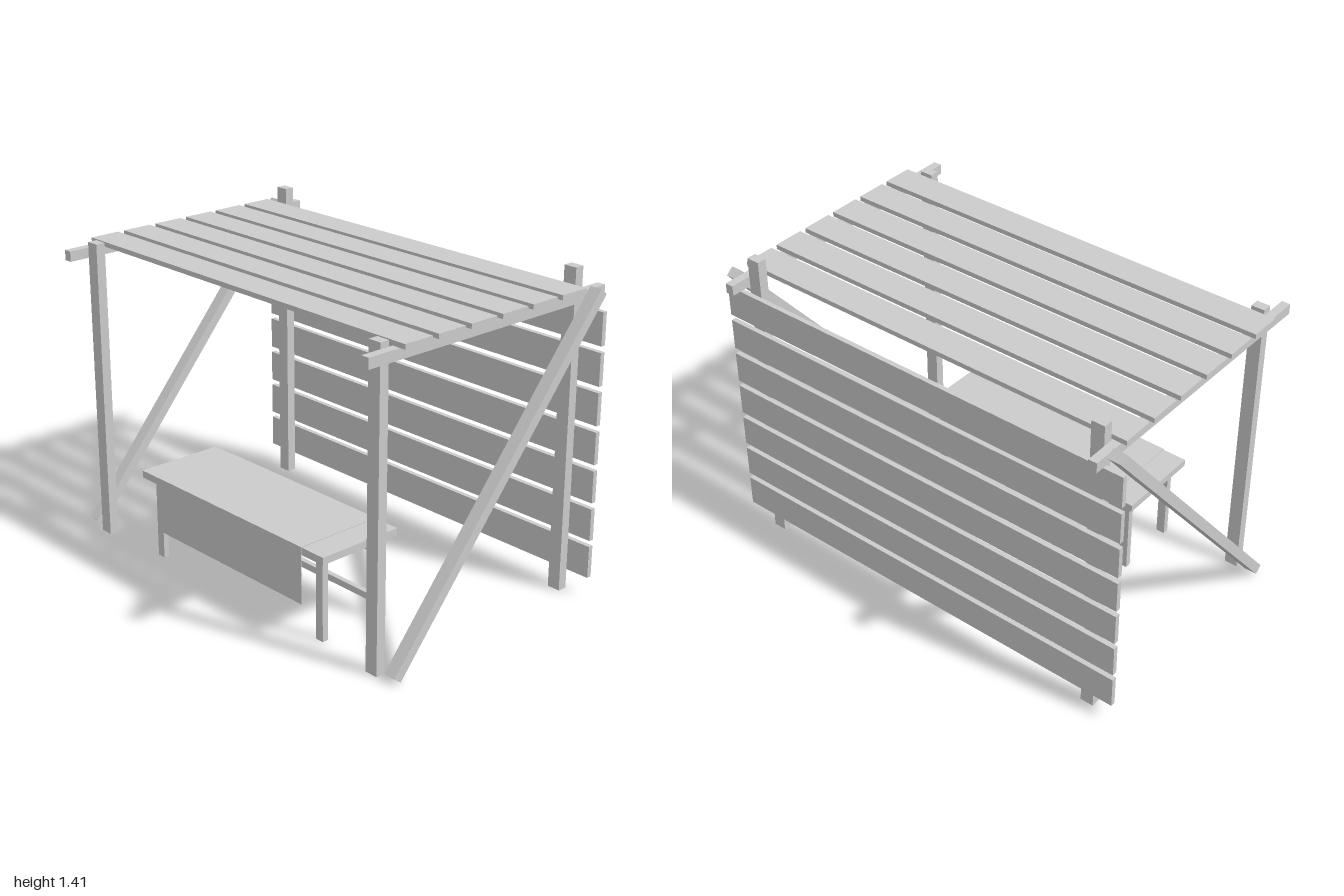
import * as THREE from 'three';

const material = new THREE.MeshStandardMaterial({ color: 0xcccccc, flatShading: true });

// Box given by its extents along each axis
function beam(name, [x0, x1], [y0, y1], [z0, z1]) {
  const mesh = new THREE.Mesh(new THREE.BoxGeometry(x1 - x0, y1 - y0, z1 - z0), material);
  mesh.position.set((x0 + x1) / 2, (y0 + y1) / 2, (z0 + z1) / 2);
  mesh.name = name;
  return mesh;
}

// One side frame: two posts, roof rail and diagonal brace
function sideFrame(side) {
  const g = new THREE.Group();
  g.name = side > 0 ? 'leftFrame' : 'rightFrame';
  const span = (a, b) => (side > 0 ? [a - 0.004, b - 0.004] : [-b - 0.004, -a - 0.004]);
  g.add(beam('frontPost', span(0.832, 0.892), [0, 1.348], [0.512, 0.555]));
  g.add(beam('backPost', span(0.832, 0.892), [0, 1.411], [-0.553, -0.51]));
  g.add(beam('roofRail', span(0.892, 0.93), [1.278, 1.323], [-0.648, 0.648]));

  // Brace runs from the front foot up to the back of the roof
  const [z0, y0, z1, y1] = [0.536, 0.018, -0.571, 1.322];
  const length = Math.hypot(z1 - z0, y1 - y0);
  const brace = beam('diagonalBrace', span(0.932, 0.988), [0, length], [-0.0215, 0.0215]);
  brace.position.y = (y0 + y1) / 2;
  brace.position.z = (z0 + z1) / 2;
  brace.rotation.x = Math.atan2(z1 - z0, y1 - y0);
  g.add(brace);
  return g;
}

function bench() {
  const g = new THREE.Group();
  g.name = 'bench';
  g.add(beam('benchTop', [-0.561, 0.593], [0.368, 0.4], [0.161, 0.562]));
  for (const x of [-0.521, 0.508])
    for (const z of [0.204, 0.495])
      g.add(beam('benchLeg', [x, x + 0.04], [0, 0.368], [z, z + 0.027]));
  // Stretchers between the back legs
  for (const y of [0.067, 0.289])
    g.add(beam('benchStretcher', [-0.481, 0.508], [y, y + 0.029], [0.205, 0.229]));
  // Cloth lying on the top and hanging over the front
  g.add(beam('clothTop', [-0.447, 0.47], [0.4, 0.403], [0.161, 0.565]));
  g.add(beam('clothFront', [-0.447, 0.47], [0.153, 0.403], [0.562, 0.565]));
  return g;
}

export function createModel() {
  const model = new THREE.Group();
  model.name = 'pergola';
  model.add(sideFrame(1), sideFrame(-1), bench());

  // Roof slats
  for (let i = 0; i < 6; i++) {
    const z = 0.424 - i * 0.171;
    model.add(beam('roofSlat', [-0.957, 0.952], [1.323, 1.344], [z - 0.07, z + 0.07]));
  }
  // Back wall boards
  for (let i = 0; i < 7; i++) {
    const y = 0.157 + i * 0.1695;
    model.add(beam('backBoard', [-1, 1], [y - 0.071, y + 0.071], [-0.575, -0.553]));
  }
  return model;
}
